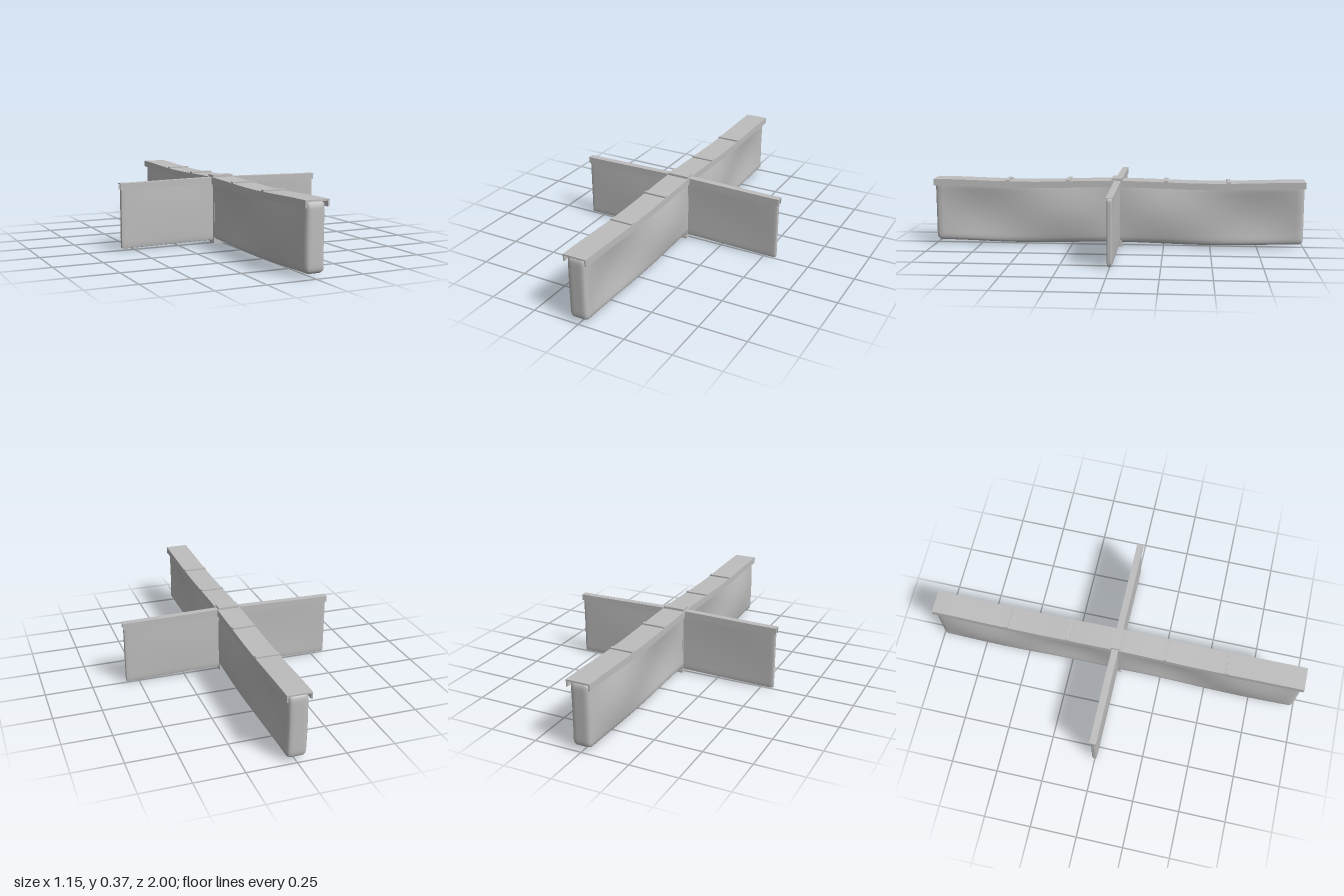
import * as THREE from 'three';
import { mergeVertices, toCreasedNormals } from 'three/addons/utils/BufferGeometryUtils.js';

const clamp = THREE.MathUtils.clamp;

// Apply a rule to every vertex of a geometry.
function warp(geometry, rule) {
  const pos = geometry.attributes.position;
  const p = new THREE.Vector3();
  for (let i = 0; i < pos.count; i++) {
    p.fromBufferAttribute(pos, i);
    rule(p);
    pos.setXYZ(i, p.x, p.y, p.z);
  }
  return geometry;
}

// Finely divided slab with rounded edges, running along z, bent by a rule.
function slab(width, bottom, top, length, radius, rule) {
  const h = top - bottom;
  let g = new THREE.BoxGeometry(width, h, length, 10, 20, 100);
  const inner = new THREE.Vector3(width / 2 - radius, h / 2 - radius, length / 2 - radius);
  const core = new THREE.Vector3();
  warp(g, (p) => {
    core.set(clamp(p.x, -inner.x, inner.x), clamp(p.y, -inner.y, inner.y), clamp(p.z, -inner.z, inner.z));
    p.sub(core);
    if (p.lengthSq() > 0) p.setLength(radius);
    p.add(core);
    p.y += h / 2 + bottom;
    rule(p);
  });
  g.deleteAttribute('normal');
  g.deleteAttribute('uv');
  g = mergeVertices(g);
  g.computeVertexNormals();
  return g;
}

// Inverted channel running along z, bent by a rule.
function channel(halfWidth, bottom, top, lip, length, rule) {
  const a = halfWidth, b = halfWidth - lip;
  const shape = new THREE.Shape([
    [-a, bottom], [-b, bottom], [-b, top - lip], [b, top - lip],
    [b, bottom], [a, bottom], [a, top], [-a, top],
  ].map(([x, y]) => new THREE.Vector2(x, y)));
  const g = new THREE.ExtrudeGeometry(shape, { depth: length, steps: 48, bevelEnabled: false });
  g.translate(0, 0, -length / 2);
  return toCreasedNormals(warp(g, rule), 0.5);
}

export function createModel() {
  const model = new THREE.Group();
  model.name = 'crossedWalls';
  const grey = new THREE.MeshStandardMaterial({ color: 0xbdbdbd });
  grey.name = 'grey';

  const add = (name, geometry, parent = model) => {
    const mesh = new THREE.Mesh(geometry, grey);
    mesh.name = name;
    parent.add(mesh);
    return mesh;
  };
  const box = (name, w, h, d, x, y, z) =>
    add(name, new THREE.BoxGeometry(w, h, d)).position.set(x, y, z);

  // Long wall: gentle sag, with sideways bulges at mid height
  const sag = (z) => 0.005 * Math.cos(2 * Math.PI * z);
  add('longWall', slab(0.104, 0.016, 0.348, 1.99, 0.026, (p) => {
    const rise = Math.sin(Math.PI * clamp((p.y - 0.016) / 0.31, 0, 1));
    p.x += 0.02 * rise * Math.sin(2 * Math.PI * Math.abs(p.z));
    p.y += sag(p.z);
  }));
  add('longWallCap', channel(0.062, 0.32, 0.355, 0.008, 2, (p) => { p.y += sag(p.z); }));

  // Raised joints across the long cap
  for (const z of [-0.595, -0.26, 0.265, 0.595]) {
    box('capJoint', 0.122, 0.012, 0.022, 0, 0.357 + sag(z), z);
  }

  // Short cross wall, turned to run along x
  const cross = new THREE.Group();
  cross.name = 'crossWall';
  cross.rotation.y = Math.PI / 2;
  cross.position.z = -0.002;
  model.add(cross);
  const lift = (x) => 0.008 * Math.max(0, 1 - Math.abs(x) / 0.5);
  add('crossPanel', slab(0.026, 0.01, 0.345, 1.14, 0.007, (p) => {
    const rise = Math.sin(Math.PI * clamp((p.y - 0.01) / 0.31, 0, 1));
    p.x += 0.004 * rise * Math.sin(2 * Math.PI * p.z / 1.1);
    p.y += lift(p.z);
  }), cross);
  add('crossCap', channel(0.0175, 0.318, 0.352, 0.004, 1.15, (p) => { p.y += lift(p.z); }), cross);

  // Joining post with its cover and foot
  box('centrePost', 0.1, 0.356, 0.05, 0, 0.186, 0);
  box('centreCover', 0.114, 0.014, 0.058, 0, 0.365, 0);
  box('centreFoot', 0.104, 0.014, 0.058, 0, 0.007, 0);
  return model;
}
